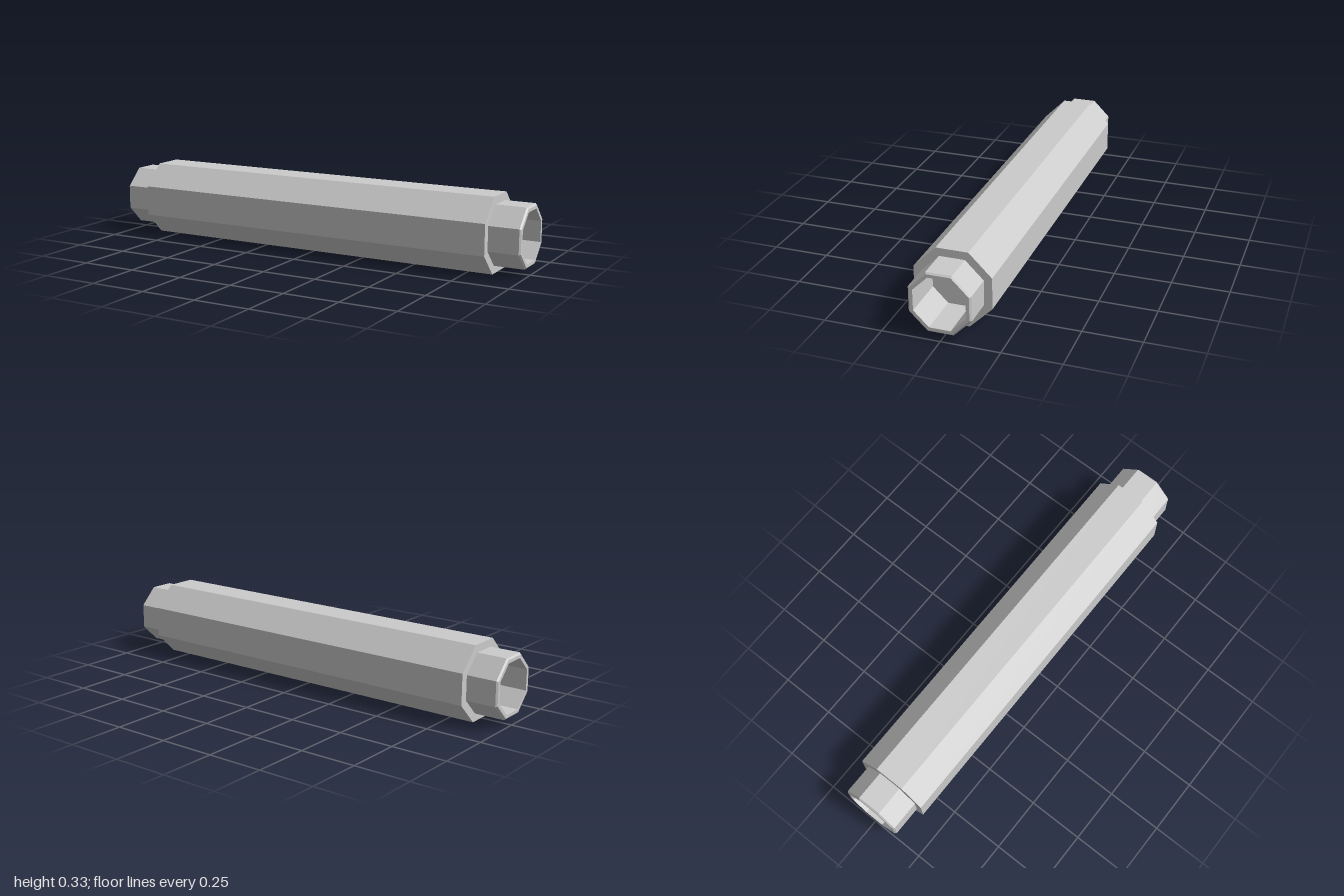
import * as THREE from 'three';

const SIDES = 8;
const APOTHEM = 0.1655;
const toCorner = 1 / Math.cos(Math.PI / SIDES);

// Octagonal solid of revolution along x, with flats facing up, down, front and back.
// Profile entries are [distance from axis to flat, x], listed from -x to +x.
function octagonal(name, profile) {
  const points = profile.map(([r, x]) => new THREE.Vector2(r * toCorner, x));
  const lathe = new THREE.LatheGeometry(points, SIDES, Math.PI / SIDES);
  const geometry = lathe.toNonIndexed();
  geometry.computeVertexNormals();
  geometry.rotateZ(-Math.PI / 2);
  const material = new THREE.MeshStandardMaterial({ color: 0xcccccc, flatShading: true });
  const mesh = new THREE.Mesh(geometry, material);
  mesh.name = name;
  mesh.position.y = APOTHEM;
  return mesh;
}

export function createModel() {
  const group = new THREE.Group();
  group.name = 'octagonalTube';

  // One end: blind bore, flat rim, small chamfer, narrow collar, step up to the body
  const end = [
    [0, 0.8],
    [0.11, 0.8],
    [0.11, 1],
    [0.124, 1],
    [0.131, 0.993],
    [0.131, 0.858],
    [APOTHEM, 0.858],
  ];

  // Both ends mirrored around the long body
  const left = end.map(([r, x]) => [r, -x]);
  const right = [...end].reverse();
  group.add(octagonal('tubeBody', [...left, ...right]));

  return group;
}
